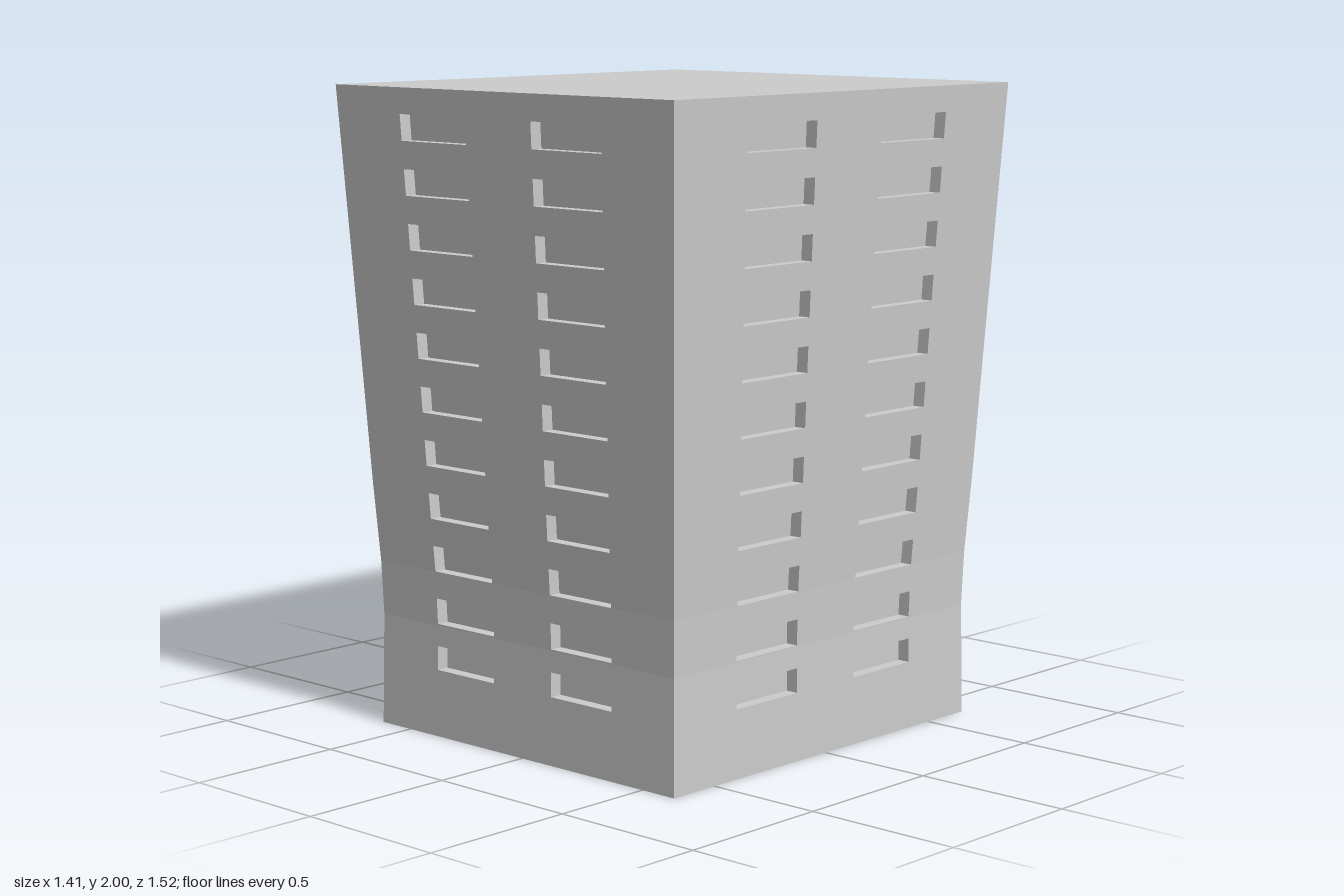
import * as THREE from 'three';

// Half width of the tower at a height: slightly waisted low down, flaring to the roof
const profile = [[0, 0.626], [0.35, 0.621], [0.52, 0.626], [0.77, 0.641], [1.18, 0.662], [2, 0.705]];
const DEPTH_RATIO = 1.075;
const RECESS = 0.04;

function halfWidth(y) {
  const i = Math.max(1, profile.findIndex((p) => p[0] >= y));
  const [y0, w0] = profile[i - 1];
  const [y1, w1] = profile[i];
  return w0 + ((w1 - w0) * (y - y0)) / (y1 - y0);
}

// Window layout: columns as fractions of the half width, rows as heights
const columns = [-1, -0.6, -0.197, 0.197, 0.6, 1];
const windowRows = [[0.21, 0.285]];
for (let i = 0; i < 10; i++) windowRows.push([0.355 + i * 0.165, 0.435 + i * 0.165]);

const material = new THREE.MeshStandardMaterial({ color: 0xcccccc, flatShading: true });

function quadMesh(name, quads) {
  const points = quads.flatMap(([a, b, c, d]) => [a, b, c, a, c, d]);
  const geometry = new THREE.BufferGeometry().setFromPoints(points);
  geometry.computeVertexNormals();
  const mesh = new THREE.Mesh(geometry, material);
  mesh.name = name;
  return mesh;
}

// Point on one of four sides; u runs left to right seen from outside
function sidePoint(side, u, y, inset = 0) {
  const [nx, nz] = [[0, 1], [1, 0], [0, -1], [-1, 0]][side];
  const w = halfWidth(y);
  return new THREE.Vector3(
    (nx + nz * u) * w - nx * inset,
    y,
    (nz - nx * u) * w * DEPTH_RATIO - nz * inset
  );
}

function buildSide(side, name) {
  const wall = [];
  const recesses = [];
  const heights = [...new Set([...profile.map((p) => p[0]), ...windowRows.flat()])]
    .sort((a, b) => a - b);
  const isWindowRow = (y) => windowRows.some(([a, b]) => y > a && y < b);

  // Wall surface, leaving the window cells open
  for (let r = 0; r < heights.length - 1; r++) {
    const [y0, y1] = [heights[r], heights[r + 1]];
    for (let c = 0; c < columns.length - 1; c++) {
      if (isWindowRow((y0 + y1) / 2) && c % 2 === 1) {
        const [u0, u1] = [columns[c], columns[c + 1]];
        const P = (u, y, d) => sidePoint(side, u, y, d);
        // Glass plane and the two jambs
        recesses.push([P(u0, y0, RECESS), P(u1, y0, RECESS), P(u1, y1, RECESS), P(u0, y1, RECESS)]);
        recesses.push([P(u0, y0, 0), P(u0, y0, RECESS), P(u0, y1, RECESS), P(u0, y1, 0)]);
        recesses.push([P(u1, y0, RECESS), P(u1, y0, 0), P(u1, y1, 0), P(u1, y1, RECESS)]);
      } else {
        wall.push([
          sidePoint(side, columns[c], y0), sidePoint(side, columns[c + 1], y0),
          sidePoint(side, columns[c + 1], y1), sidePoint(side, columns[c], y1),
        ]);
      }
    }
  }

  // Sill and soffit of every window
  for (const [y0, y1] of windowRows) {
    for (const c of [1, 3]) {
      const [u0, u1] = [columns[c], columns[c + 1]];
      const P = (u, y, d) => sidePoint(side, u, y, d);
      recesses.push([P(u0, y0, 0), P(u1, y0, 0), P(u1, y0, RECESS), P(u0, y0, RECESS)]);
      recesses.push([P(u0, y1, RECESS), P(u1, y1, RECESS), P(u1, y1, 0), P(u0, y1, 0)]);
    }
  }

  const group = new THREE.Group();
  group.name = name;
  group.add(quadMesh('wall', wall), quadMesh('windowRecesses', recesses));
  return group;
}

export function createModel() {
  const tower = new THREE.Group();
  tower.name = 'tower';
  ['frontSide', 'leftSide', 'backSide', 'rightSide'].forEach((name, i) => tower.add(buildSide(i, name)));

  // Flat roof and underside close the block
  const corners = (y) => [0, 1, 2, 3].map((side) => sidePoint(side, -1, y));
  tower.add(quadMesh('roof', [corners(2)]));
  tower.add(quadMesh('underside', [corners(0).reverse()]));
  return tower;
}
